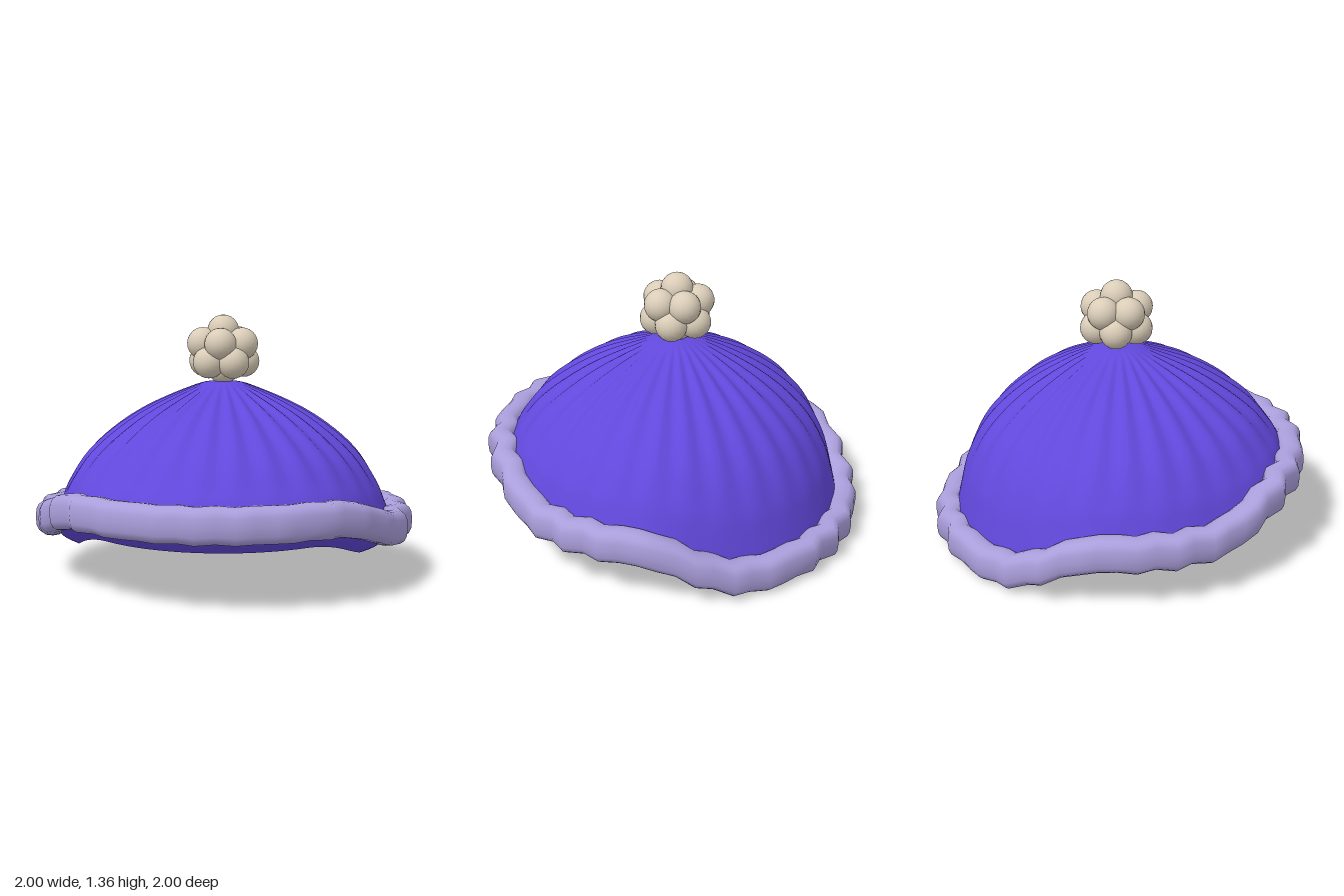
import * as THREE from 'three';

const TAU = Math.PI * 2;
const PLEATS = 28;

// Sweeping height of the rim: raised at the front, dipped at the back
function rimLift(theta) {
  const c = Math.cos(theta);
  return 0.135 * THREE.MathUtils.smoothstep(c, 0.2, 0.78)
    - 0.2 * THREE.MathUtils.smoothstep(-c, 0.38, 0.88);
}

// Surface closed around the vertical axis; point(theta, v) returns [radius, height]
function ringSurface(nu, nv, closedV, point) {
  const pos = [], idx = [];
  const rows = closedV ? nv : nv + 1;
  for (let j = 0; j < rows; j++) {
    for (let i = 0; i < nu; i++) {
      const t = (i / nu) * TAU;
      const [r, y] = point(t, j / nv);
      pos.push(r * Math.sin(t), y, r * Math.cos(t));
    }
  }
  for (let j = 0; j < nv; j++) {
    for (let i = 0; i < nu; i++) {
      const i2 = (i + 1) % nu, j2 = (j + 1) % rows;
      const a = j * nu + i, b = j * nu + i2, c = j2 * nu + i2, d = j2 * nu + i;
      idx.push(a, b, c, a, c, d);
    }
  }
  const g = new THREE.BufferGeometry();
  g.setAttribute('position', new THREE.Float32BufferAttribute(pos, 3));
  g.setIndex(idx);
  g.computeVertexNormals();
  return g;
}

export function createModel() {
  const purple = new THREE.MeshStandardMaterial({ color: 0x6248dc, side: THREE.DoubleSide });
  purple.name = 'purple cloth';
  const lavender = new THREE.MeshStandardMaterial({ color: 0xab9fdc });
  lavender.name = 'lavender trim';
  const cream = new THREE.MeshStandardMaterial({ color: 0xdacdb8 });
  cream.name = 'cream wool';

  const hat = new THREE.Group();
  hat.name = 'hat';

  // Cap: profile from the turned-in lip up to the crown (radius, height, share of rim lift)
  const profile = new THREE.CatmullRomCurve3([
    [0.77, 0.16, 0.8], [0.845, 0.2, 0.97], [0.875, 0.235, 1], [0.88, 0.29, 1],
    [0.85, 0.4, 0.75], [0.8, 0.51, 0.45], [0.7, 0.65, 0.25], [0.55, 0.78, 0.12],
    [0.4, 0.875, 0.06], [0.2, 0.97, 0], [0.1, 1.008, 0], [0, 1.015, 0],
  ].map((p) => new THREE.Vector3(...p)));
  const cap = new THREE.Mesh(ringSurface(168, 44, false, (t, v) => {
    const p = profile.getPoint(v);
    // Soft pleats, strongest midway up the cap
    const fade = THREE.MathUtils.smoothstep(v, 0.35, 0.6) * (1 - THREE.MathUtils.smoothstep(v, 0.7, 0.92));
    const pleat = 0.007 * fade * Math.cos(PLEATS * t);
    return [Math.max(p.x + pleat, 0), p.y + p.z * rimLift(t) + pleat];
  }), purple);
  cap.name = 'cap';
  hat.add(cap);

  // Padded band with a puckered outline
  const soft = (s) => Math.sign(s) * Math.pow(Math.abs(s), 0.75);
  const band = new THREE.Mesh(ringSurface(64, 16, true, (t, v) => {
    const a = v * TAU;
    const r = 0.91 + 0.02 * Math.cos(PLEATS * t) + 0.07 * soft(Math.cos(a));
    return [r, 0.295 + rimLift(t) + 0.09 * soft(Math.sin(a))];
  }), lavender);
  band.name = 'band';
  hat.add(band);

  // Pompom: one ball on top, one below and two staggered rings of five
  const pompom = new THREE.Group();
  pompom.name = 'pompom';
  pompom.position.set(0, 1.172, -0.012);
  const ballGeo = new THREE.SphereGeometry(0.084, 18, 12);
  const addBall = (x, y, z) => {
    const ball = new THREE.Mesh(ballGeo, cream);
    ball.name = 'woolBall';
    ball.position.set(x, y, z);
    pompom.add(ball);
  };
  addBall(0, 0.105, 0);
  addBall(0, -0.09, 0);
  for (let i = 0; i < 10; i++) {
    const a = (i / 10) * TAU;
    addBall(0.108 * Math.sin(a), i % 2 ? -0.055 : 0.04, 0.108 * Math.cos(a));
  }
  hat.add(pompom);

  return hat;
}
